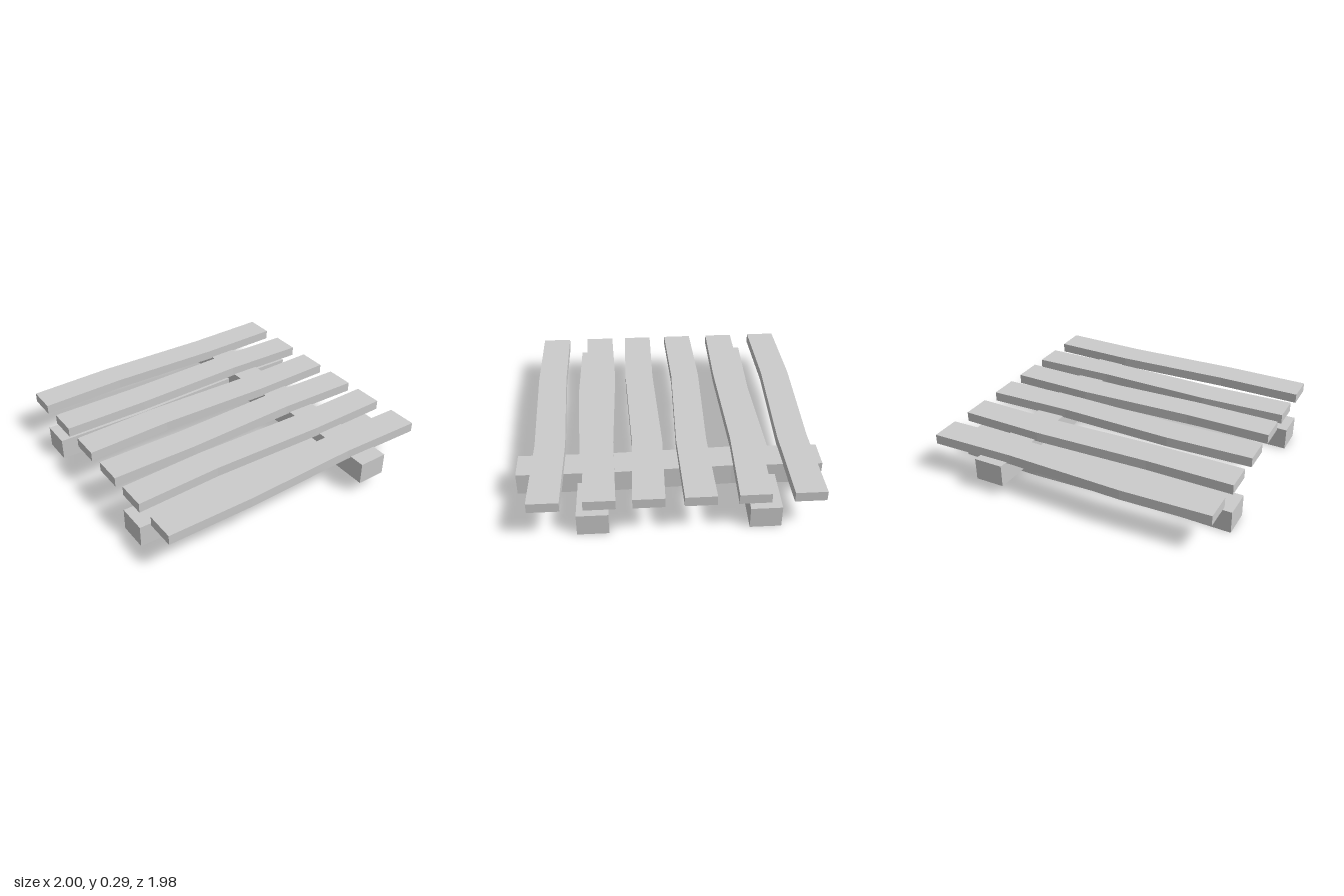
import * as THREE from 'three';

const material = new THREE.MeshStandardMaterial({ color: 0xcccccc, flatShading: true });
const WIDTH = 0.2;

// A slightly crooked plank along x: stations along its length, centre z at each station
function plank(name, stations, centres, bottom, height) {
  const h = WIDTH / 2;
  const near = stations.map((x, i) => new THREE.Vector2(x, -(centres[i] + h)));
  const far = stations.map((x, i) => new THREE.Vector2(x, -(centres[i] - h))).reverse();
  const geometry = new THREE.ExtrudeGeometry(new THREE.Shape([...near, ...far]), {
    depth: height, bevelEnabled: false,
  });
  geometry.rotateX(-Math.PI / 2);
  geometry.translate(0, bottom, 0);
  const mesh = new THREE.Mesh(geometry, material);
  mesh.name = name;
  return mesh;
}

export function createModel() {
  const model = new THREE.Group();
  model.name = 'pallet';

  // Top slats: end centre z, then sideways bend at the two inner stations
  const slats = [
    [-0.84, -0.015, 0.01],
    [-0.5, 0.005, -0.015],
    [-0.166, -0.015, 0.01],
    [0.152, 0.007, -0.016],
    [0.452, -0.016, 0.007],
    [0.79, 0.007, -0.016],
  ];
  slats.forEach(([z, a, b], i) => {
    model.add(plank(`slat${i + 1}`, [-0.97, -0.38, 0.42, 1], [z, z + a, z + b, z], 0.223, 0.067));
  });

  // Ground runners
  const runners = [['backRunner', -0.58], ['frontRunner', 0.5]];
  for (const [name, z] of runners) {
    model.add(plank(name, [-1, -0.4, 0.4, 0.97], [z, z + 0.014, z - 0.01, z], 0, 0.15));
  }

  // Single cross beam, turned to run along z
  const beam = plank('crossBeam', [-0.985, -0.4, 0.4, 0.99], [0.55, 0.557, 0.534, 0.55], 0.08, 0.15);
  beam.rotation.y = Math.PI / 2;
  model.add(beam);

  return model;
}
